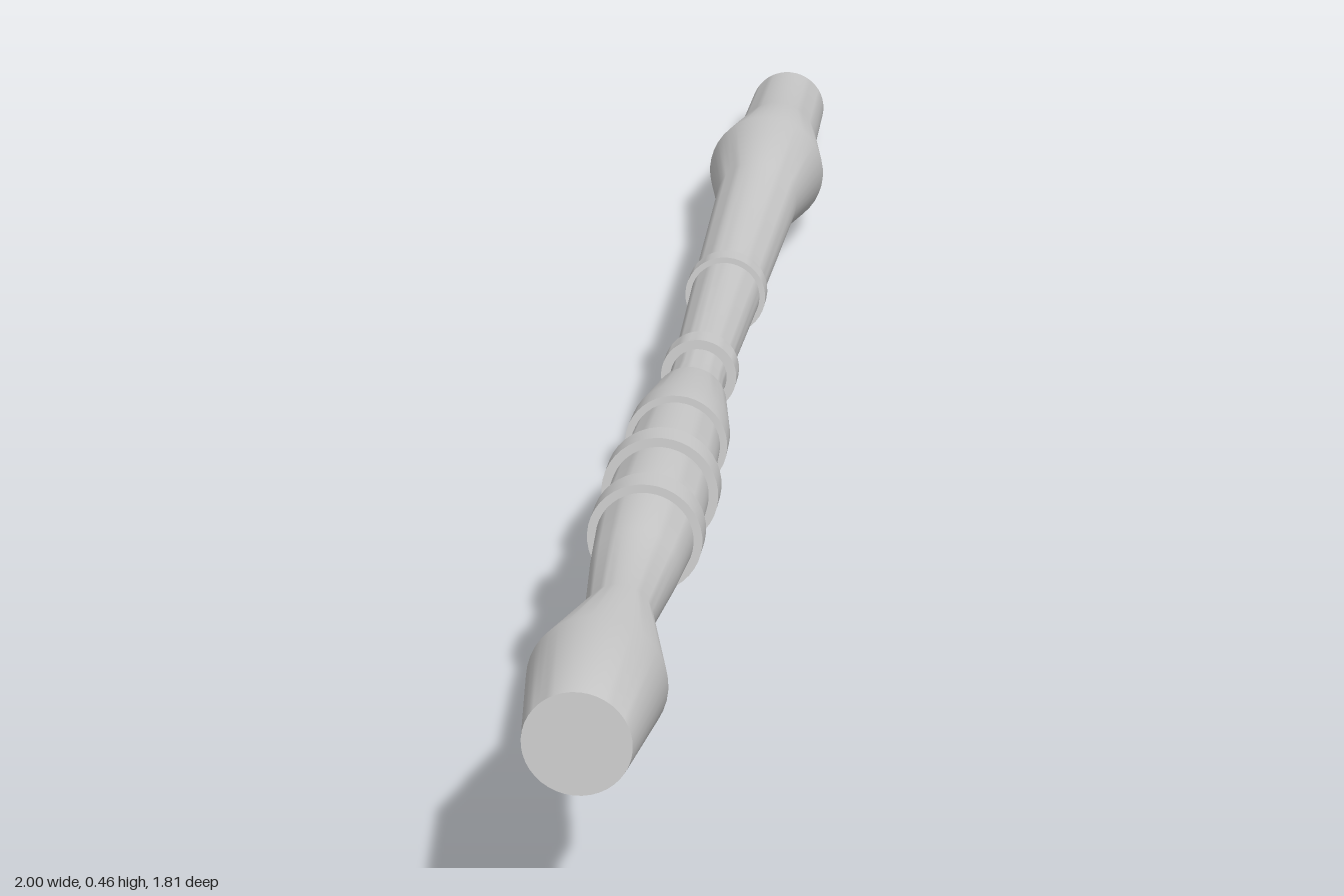
import * as THREE from 'three';
import { toCreasedNormals } from 'three/addons/utils/BufferGeometryUtils.js';

const SEGMENTS = 40;

export function createModel() {
  const model = new THREE.Group();
  const staff = new THREE.Group();
  staff.name = 'staff';
  model.add(staff);
  const material = new THREE.MeshStandardMaterial({ color: 0xcccccc });

  // Turned part along y from [radius, position] pairs, closed at both ends
  function turned(name, profile) {
    const closed = [[0, profile[0][1]], ...profile, [0, profile.at(-1)[1]]];
    const points = closed.map(([r, y]) => new THREE.Vector2(r, y));
    const geometry = toCreasedNormals(new THREE.LatheGeometry(points, SEGMENTS), 0.7);
    const mesh = new THREE.Mesh(geometry, material);
    mesh.name = name;
    staff.add(mesh);
  }

  // Raised end with pommel, neck and grip
  turned('grip', [
    [0.06, -1.299], [0.079, -1.135], [0.04, -0.945], [0.053, -0.8],
    [0.062, -0.66], [0.061, -0.52], [0.056, -0.34],
  ]);

  // Stepped sleeve in front of the grip
  turned('sleeve', [[0.066, -0.366], [0.065, -0.32], [0.048, -0.199]]);

  // Long tapering shaft with a bulge near the low end
  turned('shaft', [
    [0.041, -0.22], [0.037, -0.13], [0.05, 0.28], [0.0625, 0.742],
    [0.09, 0.905], [0.063, 1.094], [0.06, 1.301],
  ]);

  // Raised bands: [position, radius, width]
  const bands = [[-0.68, 0.07, 0.042], [-0.525, 0.073, 0.04], [-0.077, 0.051, 0.038], [0.275, 0.0575, 0.034]];
  for (const [y, r, w] of bands) turned('band', [[r, y - w / 2], [r, y + w / 2]]);

  // Lay the staff diagonally, with the pommel at the raised front end
  const axis = new THREE.Vector3(1.917, -0.345, -1.722).normalize();
  staff.quaternion.setFromUnitVectors(new THREE.Vector3(0, 1, 0), axis);
  staff.position.set(0, 0.234, -0.002);
  return model;
}
